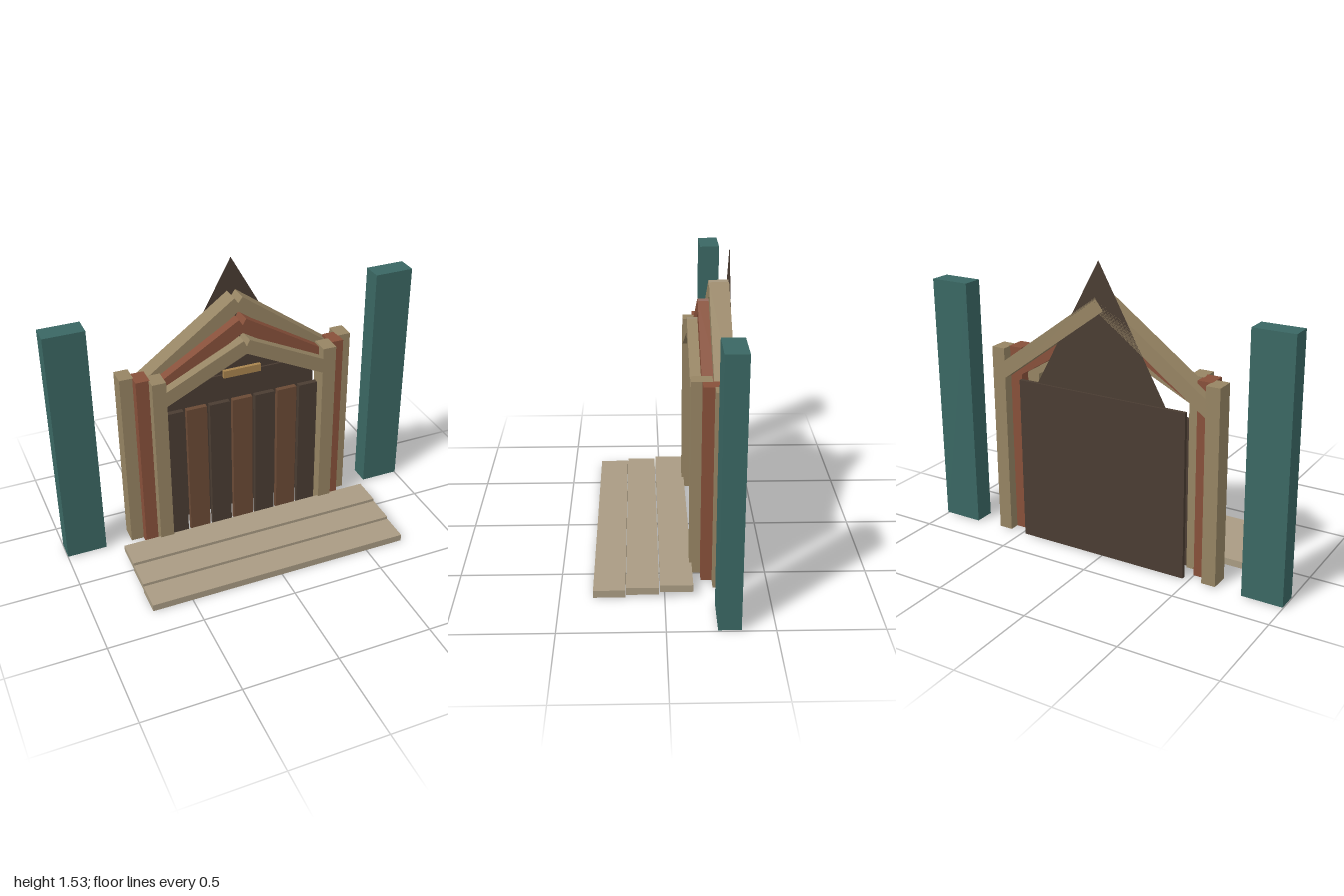
import * as THREE from 'three';

const mat = (color) => new THREE.MeshStandardMaterial({ color, flatShading: true });
const TAN = mat(0x968463), RED = mat(0x87503a), TEAL = mat(0x3a6763), STONE = mat(0xa99b83);
const DARK = mat(0x4a3c32), BROWN = mat(0x6a4a35), GOLD = mat(0xa8844e);

// Box given by its min/max extents on each axis
function box(name, material, [x0, x1], [y0, y1], [z0, z1]) {
  const mesh = new THREE.Mesh(new THREE.BoxGeometry(x1 - x0, y1 - y0, z1 - z0), material);
  mesh.position.set((x0 + x1) / 2, (y0 + y1) / 2, (z0 + z1) / 2);
  mesh.name = name;
  return mesh;
}

// One portal frame: two posts and two sloping beams meeting at the ridge
function portalFrame(name, material, inner, outer, ridgeY, endY, z) {
  const frame = new THREE.Group();
  frame.name = name;
  const endX = (inner + outer) / 2;
  const length = Math.hypot(endX, ridgeY - endY);
  const angle = Math.atan2(ridgeY - endY, endX);
  for (const side of [-1, 1]) {
    const xs = [side * inner, side * outer].sort((a, b) => a - b);
    frame.add(box('post', material, xs, [0.008, 1.02], z));
    const beam = new THREE.Mesh(new THREE.BoxGeometry(length, 0.075, z[1] - z[0]), material);
    beam.name = 'gableBeam';
    beam.position.set(side * endX / 2, (ridgeY + endY) / 2, (z[0] + z[1]) / 2);
    beam.rotation.z = -side * angle;
    frame.add(beam);
  }
  return frame;
}

export function createModel() {
  const model = new THREE.Group();
  model.name = 'gabledEntrance';

  // Three overlapping steps rising towards the door
  [[0.187, 0.341, 0.002, 0.04], [0.027, 0.184, 0.016, 0.053], [-0.136, 0.022, 0.029, 0.065]]
    .forEach(([z0, z1, y0, y1]) => model.add(box('step', STONE, [-0.713, 0.713], [y0, y1], [z0, z1])));

  // Nested portal frames, stepping outwards and back
  model.add(portalFrame('frontFrame', TAN, 0.434, 0.508, 1.131, 0.903, [-0.227, -0.125]));
  model.add(portalFrame('middleFrame', RED, 0.502, 0.576, 1.226, 0.9, [-0.28, -0.178]));
  model.add(portalFrame('rearFrame', TAN, 0.57, 0.644, 1.324, 0.882, [-0.331, -0.232]));

  // Rear wall and the thin pointed gable above it
  model.add(box('rearWall', DARK, [-0.472, 0.472], [0.01, 0.872], [-0.341, -0.321]));
  const triangle = new THREE.Shape([[-0.378, 0.85], [0.378, 0.85], [0, 1.535]].map(p => new THREE.Vector2(...p)));
  const gableMaterial = mat(0x4a3c32);
  gableMaterial.side = THREE.DoubleSide;
  const gable = new THREE.Mesh(new THREE.ShapeGeometry(triangle), gableMaterial);
  gable.name = 'gablePanel';
  gable.position.z = -0.331;
  model.add(gable);

  // Door planks in alternating shades
  for (let i = -3; i <= 3; i++) {
    const x = i * 0.128;
    model.add(box('doorPlank', i % 2 ? DARK : BROWN, [x - 0.056, x + 0.056], [0.01, 0.79], [-0.215, -0.187]));
  }

  // Plain plaque above the door
  model.add(box('plaque', GOLD, [-0.104, 0.104], [0.935, 0.976], [-0.205, -0.185]));

  // Free-standing side pillars
  for (const [name, x0, x1] of [['rightPillar', -1, -0.787], ['leftPillar', 0.787, 1]])
    model.add(box(name, TEAL, [x0, x1], [0.008, 1.33], [-0.341, -0.234]));

  return model;
}
